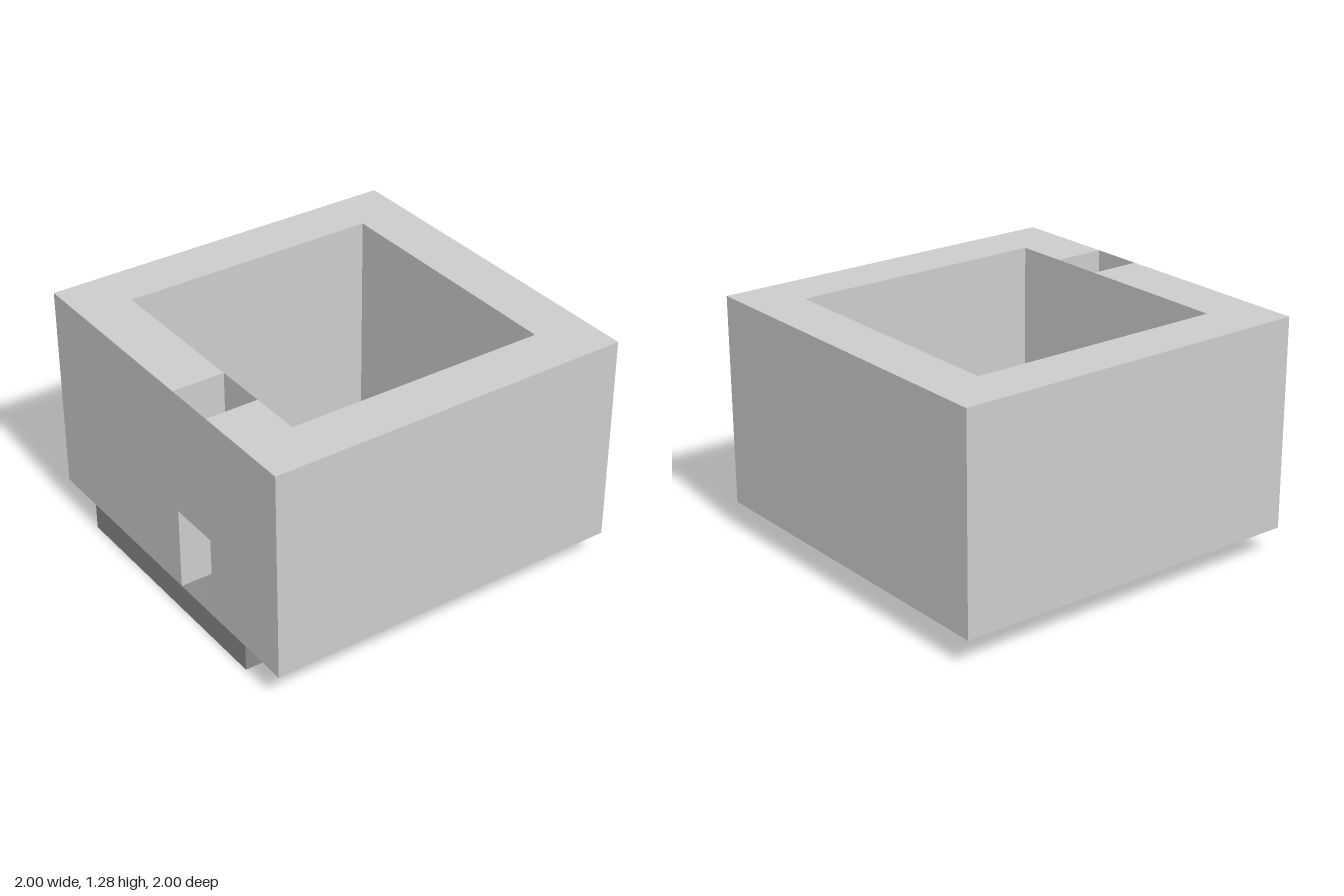
import * as THREE from 'three';

const OUT = 1, IN = 0.715;             // outer and inner half widths of the walls
const FLOOR = 0.145, TOP = 1.285;      // floor level and top of the walls
const DOOR = [0.14, 0.43], LINTEL = 0.6; // doorway span along z and its height

const wallMat = new THREE.MeshStandardMaterial({ color: 0xcccccc, flatShading: true, side: THREE.DoubleSide });
const floorMat = new THREE.MeshStandardMaterial({ color: 0x8a8a8a, flatShading: true });
const skinMat = new THREE.MeshStandardMaterial({ color: 0xcccccc });

function add(parent, name, geometry, material) {
  const mesh = new THREE.Mesh(geometry, material);
  mesh.name = name;
  parent.add(mesh);
  return mesh;
}

// Round limb between two points
function limb(parent, name, a, b, ra, rb) {
  const from = new THREE.Vector3(...a), to = new THREE.Vector3(...b);
  const dir = to.clone().sub(from);
  const mesh = add(parent, name, new THREE.CylinderGeometry(rb, ra, dir.length(), 10), skinMat);
  mesh.position.copy(from).add(to).multiplyScalar(0.5);
  mesh.quaternion.setFromUnitVectors(new THREE.Vector3(0, 1, 0), dir.normalize());
  return mesh;
}

function ball(parent, name, p, r, sx = 1, sy = 1, sz = 1) {
  const mesh = add(parent, name, new THREE.SphereGeometry(r, 14, 10), skinMat);
  mesh.position.set(...p);
  mesh.scale.set(sx, sy, sz);
  return mesh;
}

function createRoom() {
  const room = new THREE.Group();
  room.name = 'room';

  // Thick walls: a ring interrupted at the doorway
  const [d0, d1] = DOOR;
  const plan = [
    [-OUT, d1], [-OUT, OUT], [OUT, OUT], [OUT, -OUT], [-OUT, -OUT], [-OUT, d0],
    [-IN, d0], [-IN, -IN], [IN, -IN], [IN, IN], [-IN, IN], [-IN, d1],
  ];
  const shape = new THREE.Shape(plan.map(([x, z]) => new THREE.Vector2(x, -z)));
  const walls = new THREE.ExtrudeGeometry(shape, { depth: TOP - FLOOR, bevelEnabled: false });
  walls.rotateX(-Math.PI / 2).translate(0, FLOOR, 0);
  add(room, 'walls', walls, wallMat);

  // Thin sheets over the doorway, leaving the hollow above it open at the top
  const width = d1 - d0, mid = (d0 + d1) / 2;
  for (const [name, x] of [['outerDoorHeader', -OUT], ['innerDoorHeader', -IN]]) {
    const sheet = new THREE.PlaneGeometry(width, TOP - LINTEL).rotateY(-Math.PI / 2);
    add(room, name, sheet, wallMat).position.set(x, (TOP + LINTEL) / 2, mid);
  }
  const lintel = new THREE.PlaneGeometry(OUT - IN, width).rotateX(Math.PI / 2);
  add(room, 'lintel', lintel, wallMat).position.set(-(OUT + IN) / 2, LINTEL, mid);

  // Floor slab, running out under the doorway wall
  const slab = new THREE.BoxGeometry(OUT + IN, FLOOR, 2 * IN);
  add(room, 'floorSlab', slab, floorMat).position.set((IN - OUT) / 2, FLOOR / 2, 0);
  return room;
}

// Small standing figure with outstretched arms, facing -x
function createFigure() {
  const figure = new THREE.Group();
  figure.name = 'figure';
  ball(figure, 'head', [0, 0.238, 0], 0.021, 1, 1.2, 0.95);
  limb(figure, 'neck', [0.004, 0.2, 0], [0.002, 0.225, 0], 0.008, 0.008);
  const torso = limb(figure, 'torso', [0.003, 0.125, 0], [0.004, 0.207, 0], 0.016, 0.022);
  torso.scale.set(0.65, 1, 1);
  ball(figure, 'hips', [0.003, 0.125, 0], 0.02, 0.75, 0.8, 1);
  for (const s of [-1, 1]) {
    limb(figure, 'upperArm', [0.006, 0.2, s * 0.018], [0.005, 0.197, s * 0.07], 0.008, 0.006);
    limb(figure, 'forearm', [0.005, 0.197, s * 0.07], [-0.006, 0.195, s * 0.112], 0.006, 0.004);
    ball(figure, 'hand', [-0.009, 0.195, s * 0.12], 0.006, 0.7, 0.6, 1.5);
    limb(figure, 'thigh', [0.003, 0.125, s * 0.011], [0.001, 0.068, s * 0.014], 0.012, 0.009);
    limb(figure, 'shin', [0.001, 0.068, s * 0.014], [0.004, 0.01, s * 0.017], 0.009, 0.006);
    ball(figure, 'foot', [-0.012, 0.007, s * 0.018], 0.009, 2, 0.75, 0.9);
  }
  figure.position.set(-0.545, FLOOR, -0.062);
  return figure;
}

export function createModel() {
  const model = new THREE.Group();
  model.name = 'roomWithFigure';
  model.add(createRoom(), createFigure());
  return model;
}
